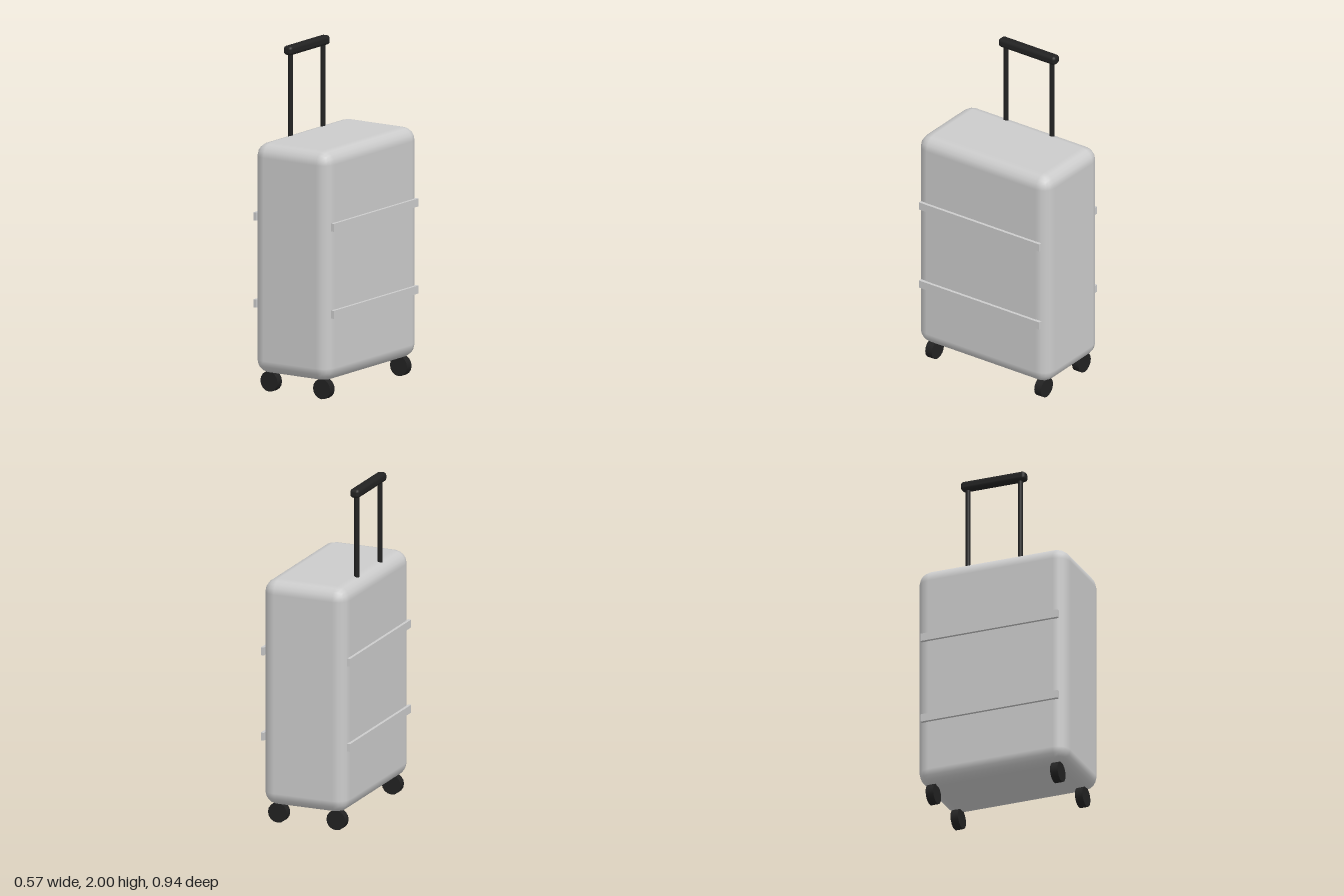
import * as THREE from 'three';
import { RoundedBoxGeometry } from 'three/addons/geometries/RoundedBoxGeometry.js';

export function createModel() {
  const model = new THREE.Group();
  model.name = 'suitcase';

  const shell = new THREE.MeshStandardMaterial({ color: 0xcccccc });
  const dark = new THREE.MeshStandardMaterial({ color: 0x222222 });

  const add = (name, geometry, material, x, y, z) => {
    const mesh = new THREE.Mesh(geometry, material);
    mesh.name = name;
    mesh.position.set(x, y, z);
    model.add(mesh);
    return mesh;
  };

  // Hard shell with rounded edges
  add('body', new RoundedBoxGeometry(0.53, 1.36, 0.94, 2, 0.08), shell, 0, 0.79, 0);

  // Two raised ribs on each broad side
  const ribGeometry = new THREE.BoxGeometry(0.02, 0.047, 0.86);
  for (const side of [-1, 1]) {
    for (const y of [0.513, 1.027]) add('rib', ribGeometry, shell, side * 0.273, y, 0);
  }

  // Four wheels, axles along z
  const wheelGeometry = new THREE.CylinderGeometry(0.06, 0.06, 0.047, 16).rotateX(Math.PI / 2);
  for (const x of [-0.185, 0.185]) {
    for (const z of [-0.39, 0.39]) add('wheel', wheelGeometry, dark, x, 0.06, z);
  }

  // Telescopic handle: two poles and a rounded grip
  const poleGeometry = new THREE.CylinderGeometry(0.015, 0.015, 0.54, 12);
  for (const z of [-0.164, 0.164]) add('handlePole', poleGeometry, dark, -0.205, 1.7, z);
  add('handleGrip', new RoundedBoxGeometry(0.06, 0.055, 0.406, 2, 0.02), dark, -0.205, 1.9725, 0);

  return model;
}
